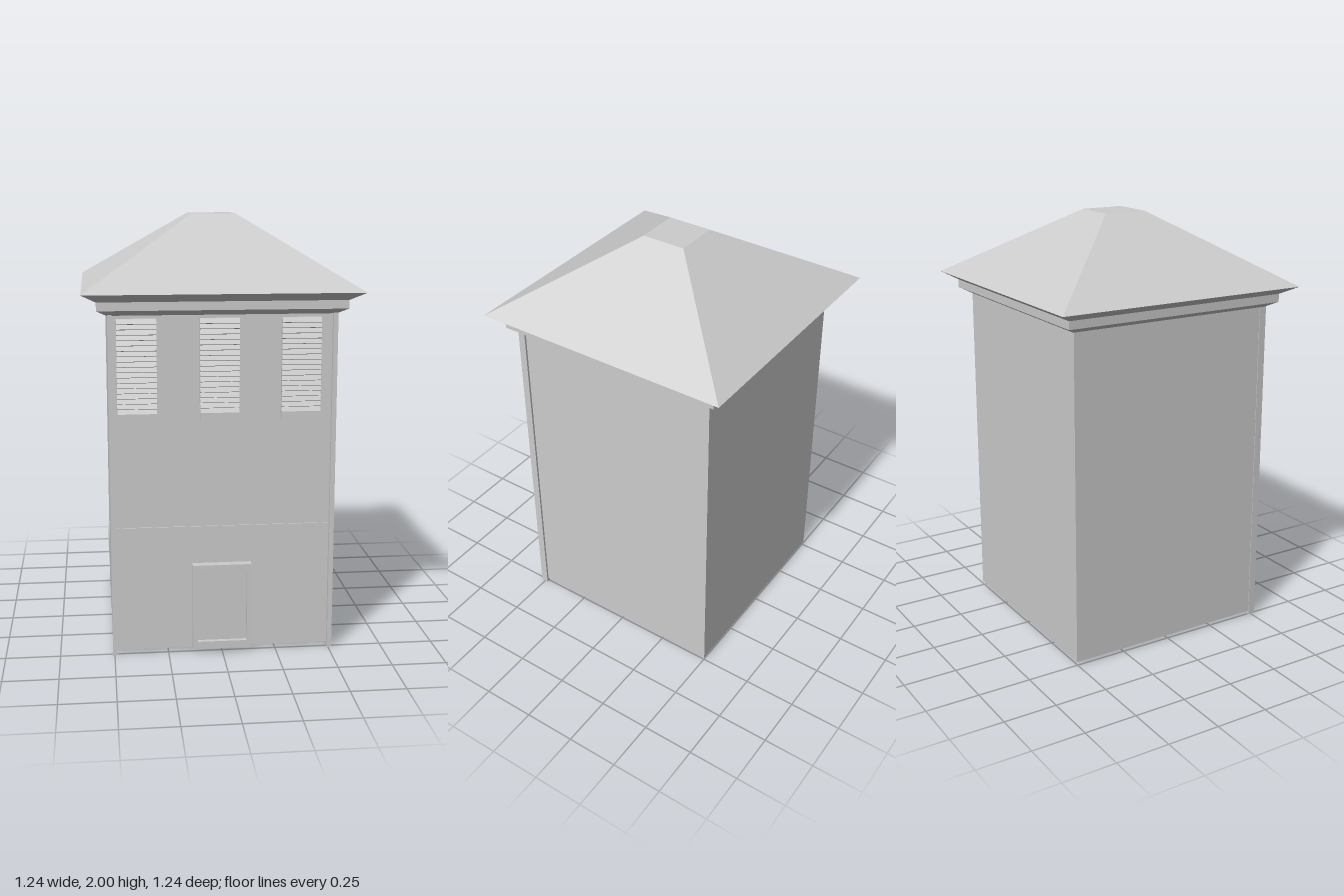
import * as THREE from 'three';

const material = new THREE.MeshStandardMaterial({ color: 0xcccccc, flatShading: true });

export function createModel() {
  const tower = new THREE.Group();
  tower.name = 'tower';

  const add = (name, geometry, parent = tower) => {
    const mesh = new THREE.Mesh(geometry, material);
    mesh.name = name;
    parent.add(mesh);
    return mesh;
  };

  // Box given by its limits on each axis
  const block = (name, [x0, x1], [y0, y1], [z0, z1], parent) => {
    const geometry = new THREE.BoxGeometry(x1 - x0, y1 - y0, z1 - z0);
    geometry.translate((x0 + x1) / 2, (y0 + y1) / 2, (z0 + z1) / 2);
    return add(name, geometry, parent);
  };

  // Walls, front corner posts and the thin string course
  block('walls', [-0.505, 0.505], [0.02, 1.58], [-0.505, 0.5]);
  block('rightCornerPost', [-0.508, -0.488], [0, 1.58], [0.485, 0.52]);
  block('leftCornerPost', [0.494, 0.515], [0, 1.58], [0.485, 0.52]);
  block('stringCourse', [-0.49, 0.496], [0.597, 0.607], [0.495, 0.506]);

  // Square cornice and hipped roof: [half width, height] from bottom to top
  const profile = [
    [0, 1.575], [0.51, 1.575], [0.555, 1.6], [0.555, 1.638],
    [0.62, 1.675], [0.105, 2], [0, 2],
  ].map(([half, y]) => new THREE.Vector2(half * Math.SQRT2, y));
  const roof = new THREE.LatheGeometry(profile, 4).rotateY(Math.PI / 4);
  add('roofAndCornice', roof.toNonIndexed());

  // Louvred shutters: a sawtooth profile drawn in (z, y) and extruded along x
  const slats = 18, bottom = 1.1, top = 1.56, sill = 1.135;
  const saw = new THREE.Shape();
  saw.moveTo(0.495, bottom);
  saw.lineTo(0.53, bottom);
  saw.lineTo(0.53, sill);
  const step = (top - sill) / slats;
  for (let i = 0; i < slats; i++) {
    saw.lineTo(0.53, sill + step * (i + 0.15));
    saw.lineTo(0.522, sill + step * (i + 1));
  }
  saw.lineTo(0.495, top);
  saw.closePath();
  const shutterWidth = 0.176;
  const louvres = new THREE.ExtrudeGeometry(saw, { depth: shutterWidth, bevelEnabled: false });
  louvres.translate(0, 0, -shutterWidth / 2).rotateY(-Math.PI / 2);
  [-0.382, -0.014, 0.352].forEach((x) => {
    add('shutter', louvres).position.x = x;
  });

  // Door frame with a recessed panel
  const rectangle = (Type, x0, x1, y0, y1) => new Type([
    new THREE.Vector2(x0, y0), new THREE.Vector2(x1, y0),
    new THREE.Vector2(x1, y1), new THREE.Vector2(x0, y1),
  ]);
  const door = new THREE.Group();
  door.name = 'door';
  tower.add(door);
  const frame = rectangle(THREE.Shape, -0.138, 0.132, 0.025, 0.43);
  frame.holes.push(rectangle(THREE.Path, -0.117, 0.111, 0.06, 0.395));
  const frameGeometry = new THREE.ExtrudeGeometry(frame, { depth: 0.045, bevelEnabled: false });
  add('doorFrame', frameGeometry.translate(0, 0, 0.495), door);
  block('doorPanel', [-0.117, 0.111], [0.06, 0.388], [0.495, 0.518], door);

  return tower;
}
